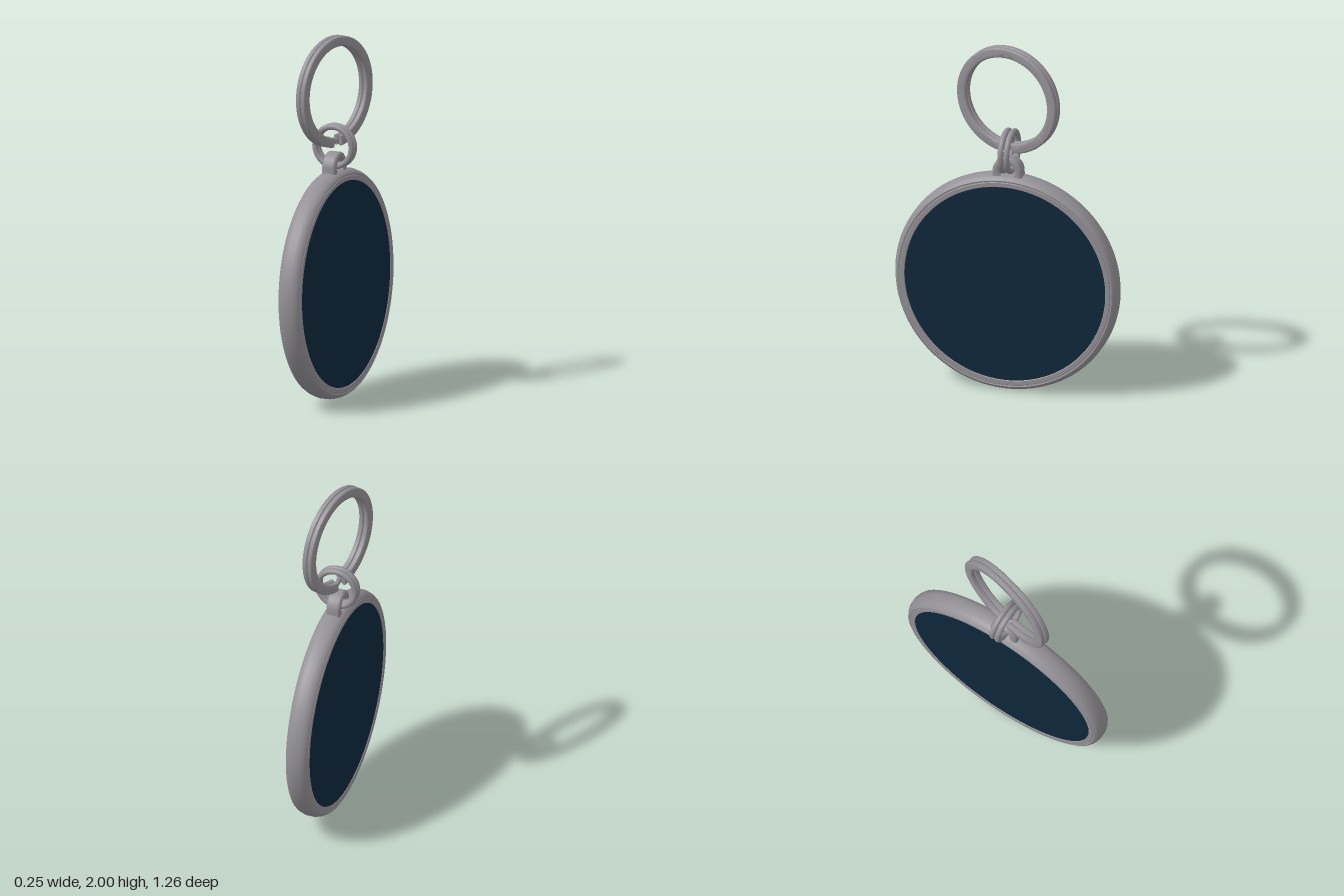
import * as THREE from 'three';
import { toCreasedNormals } from 'three/addons/utils/BufferGeometryUtils.js';

export function createModel() {
  const model = new THREE.Group();
  const paint = (name, color) => {
    const m = new THREE.MeshStandardMaterial({ color });
    m.name = name;
    return m;
  };
  const steel = paint('steel grey', 0x949196);
  const navy = paint('navy', 0x0e273c);
  const dark = paint('dark recess', 0x1c1c20);

  const add = (parent, name, geometry, material) => {
    const mesh = new THREE.Mesh(geometry, material);
    mesh.name = name;
    parent.add(mesh);
    return mesh;
  };

  // Extrude a shape with rounded edges, centred, its axis turned to x
  const plate = (shape, width, bevel) => {
    const depth = width - 2 * bevel;
    const g = new THREE.ExtrudeGeometry(shape, {
      depth, curveSegments: 64, bevelEnabled: true,
      bevelThickness: bevel, bevelSize: bevel, bevelOffset: -bevel, bevelSegments: 4,
    });
    g.translate(0, 0, -depth / 2);
    g.rotateY(Math.PI / 2);
    return toCreasedNormals(g, 0.7);
  };

  // Round case, leaning very slightly; its axis is local y
  const body = new THREE.Group();
  body.name = 'case';
  body.position.set(0.01, 0.631, 0);
  body.quaternion.setFromUnitVectors(
    new THREE.Vector3(0, 1, 0), new THREE.Vector3(1, 0.015, -0.018).normalize());
  model.add(body);

  const half = [
    [0.56, 0.055], [0.568, 0.063], [0.59, 0.063], [0.593, 0.059],
    [0.597, 0.059], [0.602, 0.062], [0.612, 0.056], [0.622, 0.04], [0.629, 0.018],
  ];
  const profile = [
    ...half.map(([r, y]) => new THREE.Vector2(r, -y)),
    ...half.slice().reverse().map(([r, y]) => new THREE.Vector2(r, y)),
  ];
  add(body, 'rim', toCreasedNormals(new THREE.LatheGeometry(profile, 96), 0.6), steel);
  add(body, 'facePanels', new THREE.CylinderGeometry(0.565, 0.565, 0.119, 96), navy);

  // Small openings along the bottom edge
  const opening = (name, z, geometry) => {
    const a = Math.asin(z / 0.628);
    const mesh = add(model, name, geometry, dark);
    mesh.position.set(0.012, 0.631 - 0.628 * Math.cos(a), z);
    mesh.rotation.x = -a;
  };
  for (const z of [-0.17, 0.07]) {
    opening('pinhole', z, new THREE.CylinderGeometry(0.009, 0.009, 0.008, 16));
  }
  opening('slot', -0.27, new THREE.BoxGeometry(0.008, 0.008, 0.07));

  // Arched lug with an eye along x
  const arch = new THREE.Shape();
  arch.moveTo(-0.095, 1.215);
  arch.lineTo(0.095, 1.215);
  arch.quadraticCurveTo(0.083, 1.24, 0.083, 1.277);
  arch.absarc(0, 1.277, 0.083, 0, Math.PI, false);
  arch.quadraticCurveTo(-0.083, 1.24, -0.095, 1.215);
  const eye = new THREE.Path();
  eye.absarc(0, 1.283, 0.042, 0, Math.PI * 2, true);
  arch.holes.push(eye);
  const lug = add(model, 'lug', plate(arch, 0.08, 0.015), steel);
  lug.rotation.y = 0.03;

  // Double connecting ring through the lug
  for (const z of [-0.021, 0.013]) {
    const ring = add(model, 'connectingRing', new THREE.TorusGeometry(0.109, 0.016, 16, 64), steel);
    ring.position.set(0, 1.39, z);
  }

  // Split key ring: two flat coils, open at the bottom, joined by a crossover
  const keyRing = new THREE.Group();
  keyRing.name = 'keyRing';
  keyRing.position.set(0, 1.694, 0);
  keyRing.rotation.y = -0.205;
  model.add(keyRing);
  const gap = 0.11;
  const start = -Math.PI / 2 + gap;
  const end = Math.PI * 1.5 - gap;
  const coil = new THREE.Shape();
  coil.absarc(0, 0, 0.306, start, end, false);
  coil.absarc(0, 0, 0.25, end, start, true);
  for (const x of [-0.0155, 0.0155]) {
    add(keyRing, 'coil', plate(coil, 0.031, 0.011), steel).position.x = x;
  }
  const path = new THREE.LineCurve3(
    new THREE.Vector3(-0.014, -0.275, -0.04), new THREE.Vector3(0.014, -0.275, 0.04));
  add(keyRing, 'crossover', new THREE.TubeGeometry(path, 1, 0.014, 12), steel);

  return model;
}
